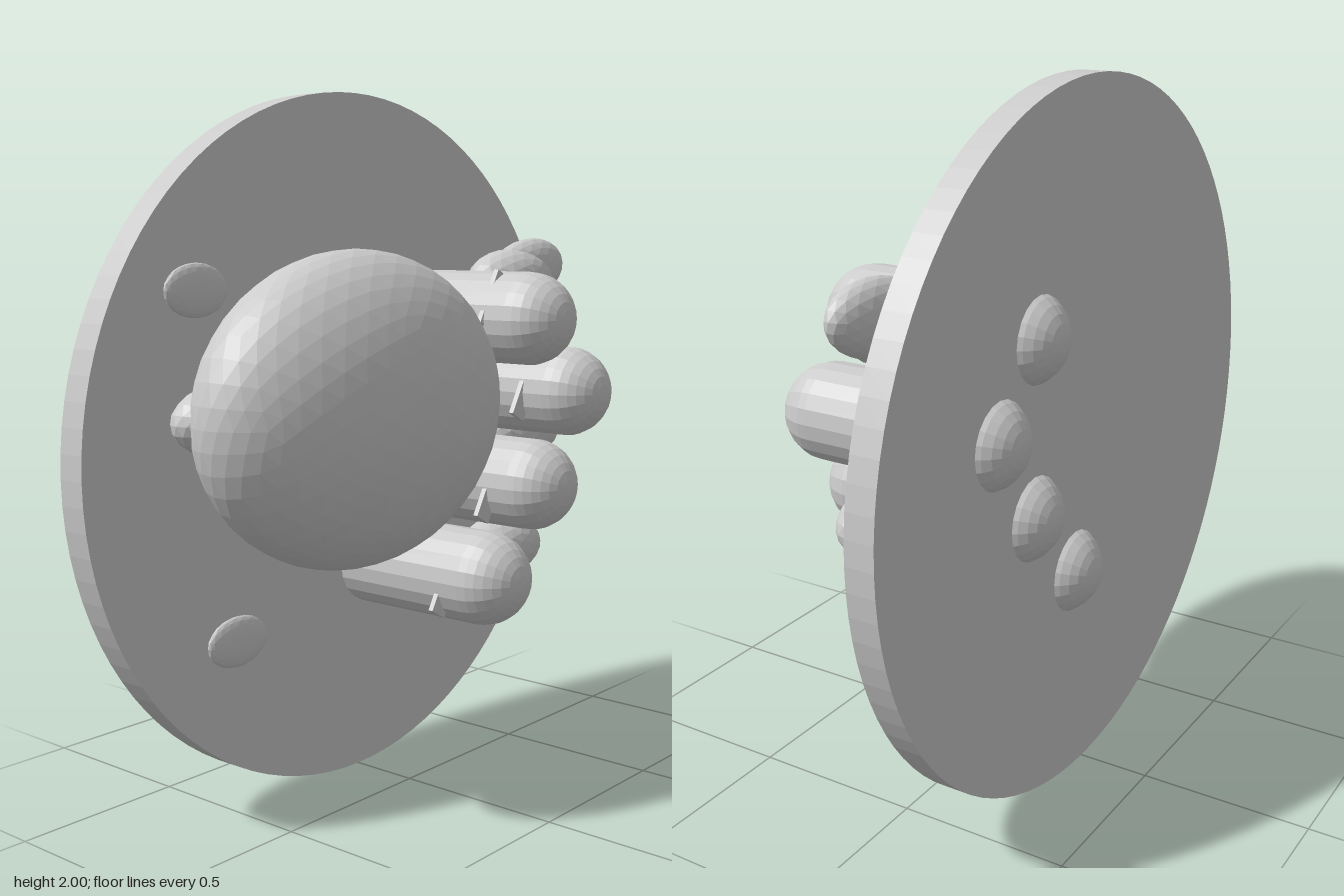
import * as THREE from 'three';

const material = new THREE.MeshStandardMaterial({ color: 0xcccccc, flatShading: true });

export function createModel() {
  const group = new THREE.Group();

  const add = (name, geometry, position, tilt = 0) => {
    const mesh = new THREE.Mesh(geometry, material);
    mesh.name = name;
    mesh.position.set(...position);
    mesh.rotation.z = tilt;
    group.add(mesh);
    return mesh;
  };
  const ellipsoid = (name, position, radii, detail, tilt) =>
    add(name, new THREE.IcosahedronGeometry(1, detail), position, tilt).scale.set(...radii);

  // Round backing plate
  add('backPlate', new THREE.CylinderGeometry(1, 1, 0.083, 96).rotateX(Math.PI / 2), [0, 1, -0.246]);

  // Large rounded body
  ellipsoid('body', [-0.26, 1.13, 0.03], [0.552, 0.433, 0.26], 7);

  // Four capsules that pass through the plate
  const capsules = [[0.27, 1.36], [0.465, 1.135], [0.29, 0.875], [0.063, 0.635]];
  for (const [x, y] of capsules) {
    const geometry = new THREE.CapsuleGeometry(0.134, 0.452, 8, 20).rotateX(Math.PI / 2);
    add('capsule', geometry, [x, y, 0]);
  }

  // Thin tilted tabs between body and capsules: x, y, length, width
  const tabs = [
    [0.203, 1.405, 0.17, 0.09],
    [0.365, 1.16, 0.22, 0.06],
    [0.185, 0.86, 0.18, 0.06],
    [-0.02, 0.62, 0.18, 0.06],
  ];
  for (const [x, y, length, width] of tabs) {
    add('tab', new THREE.BoxGeometry(length, width, 0.015), [x, y, 0.152], Math.PI / 3);
  }

  // Plump pebbles
  for (const [x, y] of [[0.595, 1.455], [0.645, 0.973], [0.548, 0.602], [-0.62, 1.13]]) {
    ellipsoid('pebble', [x, y, -0.08], [0.185, 0.1, 0.1], 3);
  }
  ellipsoid('leaningPebble', [0.68, 1.485, -0.08], [0.188, 0.1, 0.065], 3, 0.16);

  // Flat flakes lying near the plate
  for (const [x, y, z, tilt] of [[-0.68, 1.46, -0.135, 0], [-0.565, 0.522, -0.127, 0], [0.722, 1.01, -0.125, -0.15]]) {
    ellipsoid('flake', [x, y, z], [0.106, 0.07, 0.022], 3, tilt);
  }

  return group;
}
